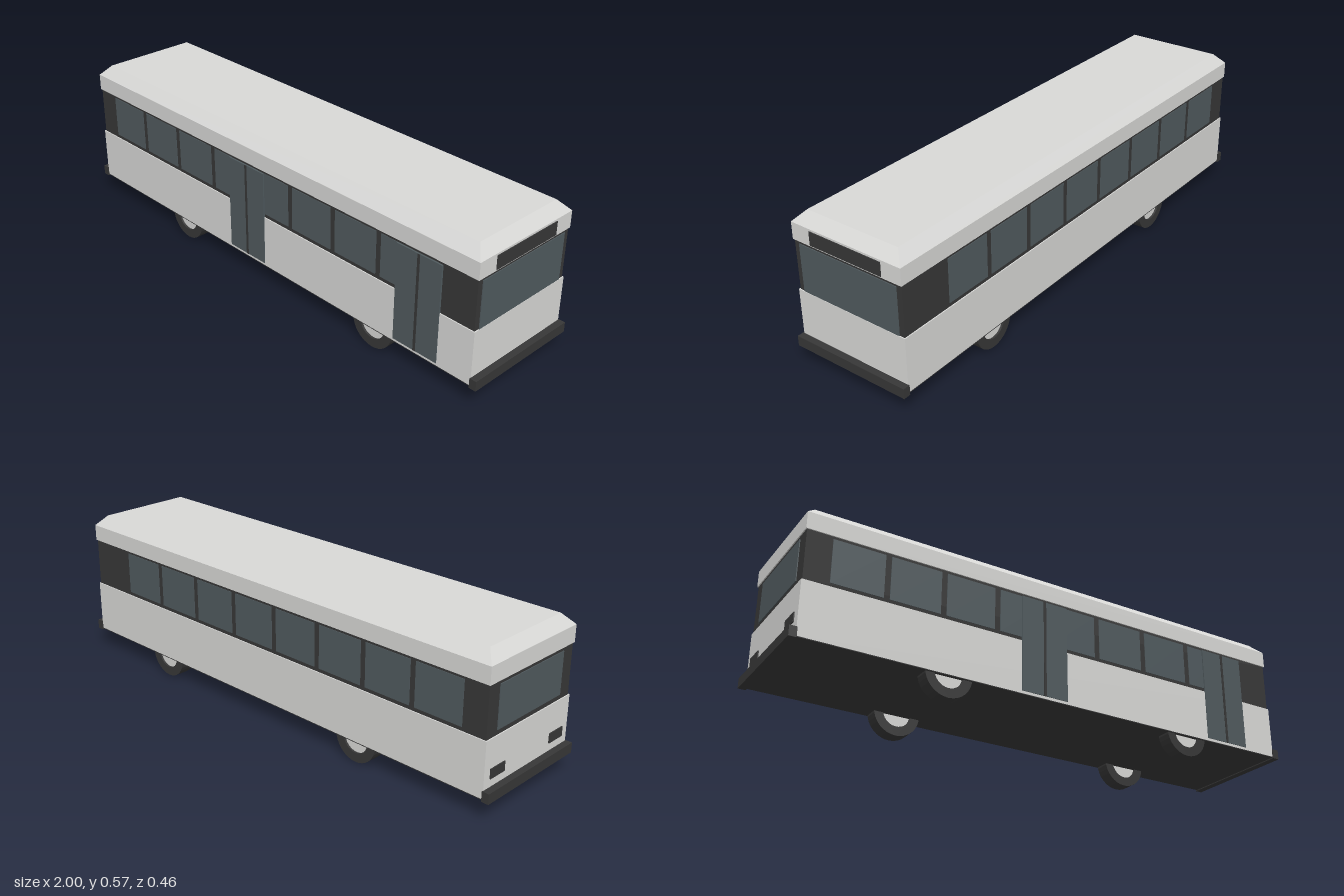
import * as THREE from 'three';

const mat = (name, color) => {
  const m = new THREE.MeshStandardMaterial({ color });
  m.name = name;
  return m;
};

export function createModel() {
  const paint = mat('light grey paint', 0xd8d8d6);
  const dark = mat('dark trim', 0x373737);
  const glass = mat('tinted glass', 0x505a5e);
  const bus = new THREE.Group();
  bus.name = 'bus';

  const add = (name, geometry, material, parent = bus) => {
    const mesh = new THREE.Mesh(geometry, material);
    mesh.name = name;
    parent.add(mesh);
    return mesh;
  };
  // Box given by its limits on each axis
  const box = (name, material, [x0, x1], [y0, y1], [z0, z1]) => {
    const mesh = add(name, new THREE.BoxGeometry(x1 - x0, y1 - y0, z1 - z0), material);
    mesh.position.set((x0 + x1) / 2, (y0 + y1) / 2, (z0 + z1) / 2);
    return mesh;
  };

  // Body shell
  box('lowerBody', paint, [-0.975, 0.975], [0.08, 0.28], [-0.227, 0.227]);
  box('floor', dark, [-0.975, 0.975], [0.077, 0.08], [-0.227, 0.227]);
  box('windowBand', dark, [-0.971, 0.971], [0.28, 0.465], [-0.223, 0.223]);
  box('upperBody', paint, [-0.975, 0.975], [0.465, 0.527], [-0.227, 0.227]);

  // Roof: a box whose top is drawn in to slope all four sides
  const roof = new THREE.BoxGeometry(1.95, 0.04, 0.454).toNonIndexed();
  const p = roof.attributes.position;
  for (let i = 0; i < p.count; i++) {
    if (p.getY(i) > 0) {
      p.setX(i, Math.sign(p.getX(i)) * 0.938);
      p.setZ(i, Math.sign(p.getZ(i)) * 0.188);
    }
  }
  roof.computeVertexNormals();
  add('roof', roof, paint).position.y = 0.547;

  // Side windows, eight on each side
  for (const s of [-1, 1]) {
    for (let i = 0; i < 8; i++) {
      const x = -0.88 + i * 0.2085;
      const z = s > 0 ? [0.222, 0.225] : [-0.225, -0.222];
      box('sideWindow', glass, [x, x + 0.187], [0.294, 0.455], z);
    }
  }

  // Two double doors on the front side
  for (const x of [-0.075, 0.743]) {
    box('door', glass, [x - 0.093, x + 0.093], [0.09, 0.455], [0.222, 0.2295]);
    box('doorSeam', dark, [x - 0.005, x + 0.005], [0.09, 0.455], [0.225, 0.231]);
  }

  // Windscreen, destination panel, rear window and rear lamps
  box('windscreen', glass, [0.969, 0.974], [0.28, 0.455], [-0.203, 0.203]);
  box('destinationPanel', dark, [0.973, 0.978], [0.47, 0.52], [-0.148, 0.148]);
  box('rearWindow', glass, [-0.974, -0.969], [0.298, 0.452], [-0.17, 0.17]);
  for (const s of [-1, 1]) {
    box('rearLamp', dark, [-0.979, -0.973], [0.14, 0.175], [s * 0.16 - 0.037, s * 0.16 + 0.037]);
    // Bumpers at both ends
    box('bumper', dark, [s * 0.9865 - 0.0135, s * 0.9865 + 0.0135], [0.073, 0.11], [-0.231, 0.231]);
  }

  // Wheels: a ring tyre around a slightly recessed hub
  const tyreShape = new THREE.Shape().absarc(0, 0, 0.0875, 0, Math.PI * 2, false);
  tyreShape.holes.push(new THREE.Path().absarc(0, 0, 0.053, 0, Math.PI * 2, true));
  const tyre = new THREE.ExtrudeGeometry(tyreShape, { depth: 0.055, bevelEnabled: false, curveSegments: 16 });
  tyre.translate(0, 0, -0.0275);
  const hub = new THREE.CylinderGeometry(0.053, 0.053, 0.04, 32).rotateX(Math.PI / 2);
  for (const x of [-0.445, 0.55]) {
    for (const s of [-1, 1]) {
      const wheel = new THREE.Group();
      wheel.name = 'wheel';
      wheel.position.set(x, 0.0875, s * 0.194);
      add('tyre', tyre, dark, wheel);
      add('hub', hub, paint, wheel);
      bus.add(wheel);
    }
  }
  return bus;
}
